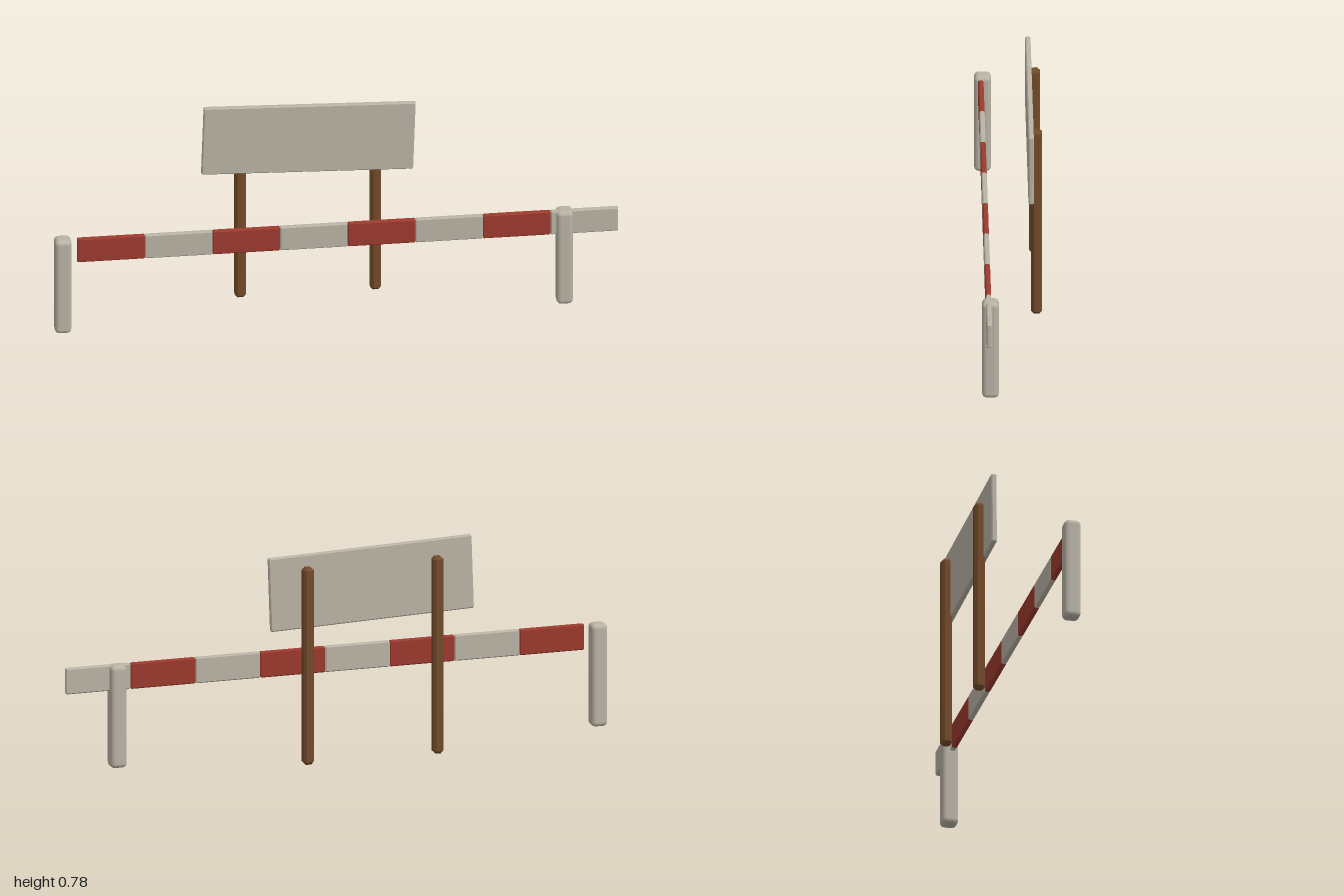
import * as THREE from 'three';
import { RoundedBoxGeometry } from 'three/addons/geometries/RoundedBoxGeometry.js';
import { ConvexGeometry } from 'three/addons/geometries/ConvexGeometry.js';

// Box with every edge cut by a flat chamfer of size c
function chamferBox(w, h, d, c) {
  const points = [];
  const half = [w / 2, h / 2, d / 2];
  for (const sx of [-1, 1]) for (const sy of [-1, 1]) for (const sz of [-1, 1]) {
    for (let axis = 0; axis < 3; axis++) {
      const p = half.map((v, i) => (i === axis ? v : v - c));
      points.push(new THREE.Vector3(sx * p[0], sy * p[1], sz * p[2]));
    }
  }
  return new ConvexGeometry(points);
}

export function createModel() {
  const model = new THREE.Group();
  model.name = 'roadBarrier';

  const paint = (name, color) => {
    const m = new THREE.MeshStandardMaterial({ color });
    m.name = name;
    return m;
  };
  const offWhite = paint('offWhite', 0xb9b3a5);
  const red = paint('red', 0x9c3a2e);
  const wood = paint('brownWood', 0x734a2a);

  const add = (name, geometry, material, x, y, z) => {
    const mesh = new THREE.Mesh(geometry, material);
    mesh.name = name;
    mesh.position.set(x, y, z);
    model.add(mesh);
    return mesh;
  };

  // Rounded posts at both ends of the barrier
  const postGeometry = new RoundedBoxGeometry(0.06, 0.375, 0.06, 2, 0.017);
  add('rightPost', postGeometry, offWhite, -0.97, 0.1875, 0.082);
  add('leftPost', postGeometry, offWhite, 0.81, 0.1875, 0.082);

  // Striped bar: alternating red and off-white segments
  const segmentGeometry = chamferBox(0.24, 0.094, 0.019, 0.004);
  for (let i = 0; i < 8; i++) {
    const isRed = i % 2 === 0;
    add(isRed ? 'redBarSegment' : 'whiteBarSegment', segmentGeometry,
      isRed ? red : offWhite, -0.8 + i * 0.24, 0.327, 0.0885);
  }

  // Wooden stakes behind the sign
  const stakeGeometry = chamferBox(0.039, 0.72, 0.039, 0.01);
  for (const x of [-0.32, 0.16]) add('signStake', stakeGeometry, wood, x, 0.36, -0.0905);

  // Blank sign board, slightly tilted
  const board = add('signBoard', chamferBox(0.752, 0.268, 0.019, 0.004), offWhite, -0.08, 0.636, -0.0695);
  board.rotation.z = -0.034;

  return model;
}
